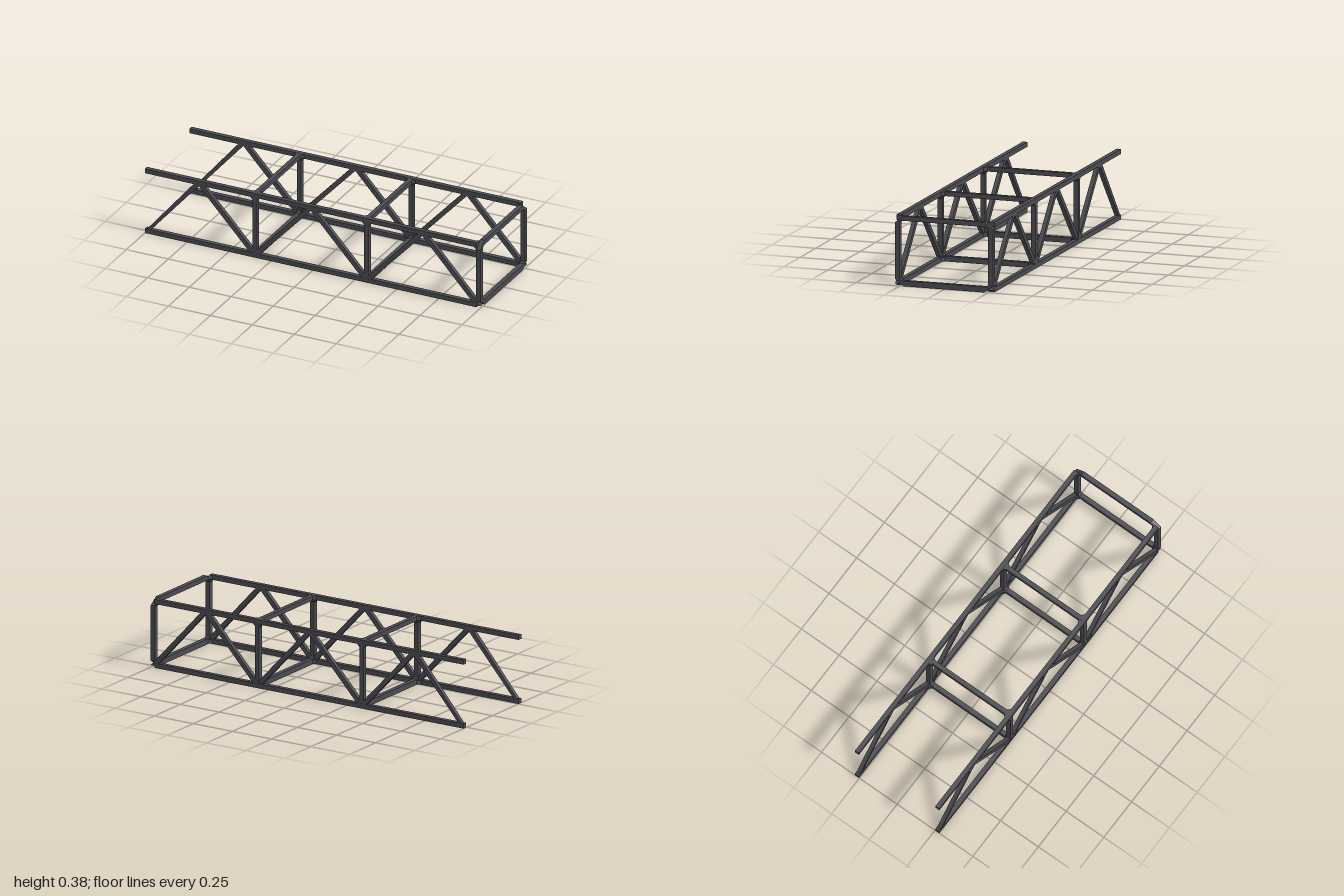
import * as THREE from 'three';

const H = 0.383, D = 0.279, T = 0.026; // height, half depth, bar thickness

export function createModel() {
  const group = new THREE.Group();
  const mat = new THREE.MeshStandardMaterial({ color: 0x4a4a50, flatShading: true });

  const add = (name, geo) => {
    const mesh = new THREE.Mesh(geo, mat);
    mesh.name = name;
    group.add(mesh);
    return mesh;
  };
  const pts = (list) => list.map(([x, y]) => new THREE.Vector2(x, y));
  const prism = (list, depth, hole) => {
    const shape = new THREE.Shape(pts(list));
    if (hole) shape.holes.push(new THREE.Path(pts(hole)));
    return new THREE.ExtrudeGeometry(shape, { depth, bevelEnabled: false }).translate(0, 0, -depth / 2);
  };
  // Rectangle with cut corners: half width w, from y0 to y1, cuts a (across) and b (up)
  const cutRect = (w, y0, y1, a, b) => [
    [-w + a, y0], [w - a, y0], [w, y0 + b], [w, y1 - b],
    [w - a, y1], [-w + a, y1], [-w, y1 - b], [-w, y0 + b],
  ];

  // Four long chords
  const zMid = D - T / 2;
  for (const z of [-zMid, zMid]) {
    for (const y of [T / 2, H - T / 2]) {
      add(y < 0.1 ? 'bottomChord' : 'topChord', new THREE.BoxGeometry(1.976, T, T))
        .position.set(-0.012, y, z);
    }
  }

  // Cross frames; the end one has its outer corners cut off
  const frames = [-0.346, 0.32, 1 - T / 2];
  frames.forEach((x, i) => {
    const end = i === 2;
    const inset = end ? 0 : 0.001;
    const outer = end
      ? cutRect(D, 0, H, 0.05, 0.038)
      : cutRect(D - inset, inset, H - inset, 0.002, 0.002);
    const hole = cutRect(D - 0.028, 0.03, H - T, 0.01, 0.012);
    add(end ? 'endFrame' : 'crossFrame', prism(outer, T, hole))
      .position.x = x;
    group.children[group.children.length - 1].rotation.y = Math.PI / 2;

    // Small corner fillets where the frame meets the chords
    const g = 0.016;
    for (const dir of end ? [-1] : [-1, 1]) {
      const x0 = x + dir * T / 2;
      for (const side of [-1, 1]) {
        for (const up of [-1, 1]) {
          const y0 = up > 0 ? H - T : T;
          const tri = [[x0, y0], [x0 + dir * g, y0], [x0, y0 - up * g]];
          add('uprightFillet', prism(tri, T - 0.004)).position.z = side * zMid;

          // Horizontal fillet, drawn in x/-z and laid flat
          const z0 = side * (D - T);
          const flat = [[x0, -z0], [x0 + dir * g, -z0], [x0, -z0 + side * g]];
          const f = add('crossbarFillet', prism(flat, T - 0.004));
          f.rotation.x = -Math.PI / 2;
          f.position.y = up > 0 ? H - T / 2 : T / 2;
        }
      }
    }
  });

  // Zigzag diagonals in both side walls, cut flat where they meet the chords
  const nodes = [-0.995, -0.68, -0.346, -0.012, 0.32, 0.653, 0.982];
  const h = 0.018;
  for (const z of [-zMid, zMid]) {
    for (let i = 0; i < nodes.length - 1; i++) {
      const [a, b] = [nodes[i], nodes[i + 1]];
      const [ya, yb] = i % 2 ? [H - 0.012, 0.012] : [0.012, H - 0.012];
      const clip = (x) => Math.min(1, Math.max(-1, x));
      add('diagonalBrace', prism([
        [clip(a - h), ya], [clip(a + h), ya], [clip(b + h), yb], [clip(b - h), yb],
      ], T - 0.003)).position.z = z;
    }
  }
  return group;
}
